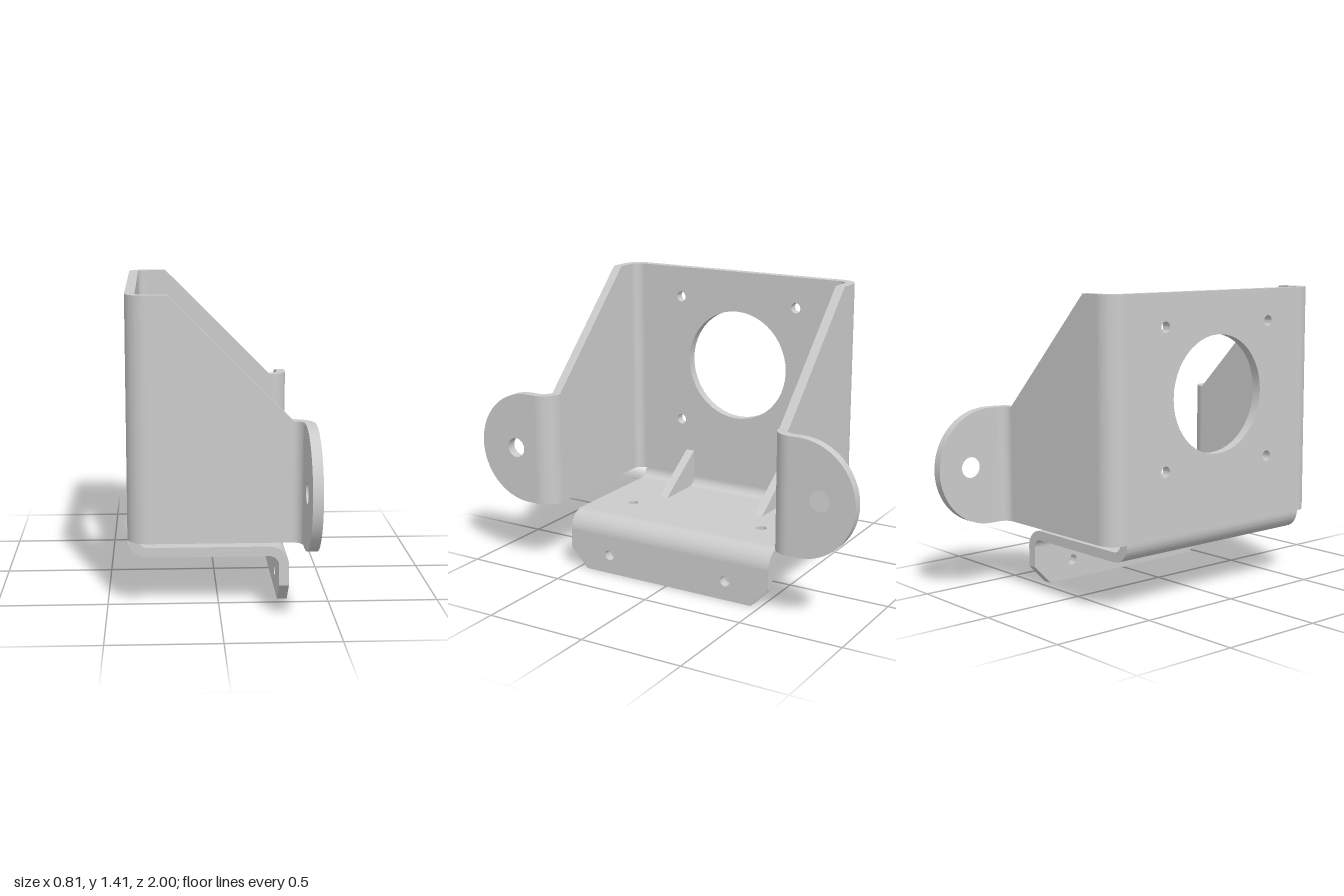
import * as THREE from 'three';
import { toCreasedNormals } from 'three/addons/utils/BufferGeometryUtils.js';

const T = 0.045;      // sheet thickness
const R = 0.09;       // outer bend radius
const X = 0.407;      // half depth
const BASE = 0.322;   // lower edge of back and walls
const TOP = 1.41;
const TAB_TOP = 0.866;
const HALF = 0.545;   // half width of the flat back and tray

// closed outline with round holes given as [x, y, radius]
function outline(points, holes = []) {
  const shape = new THREE.Shape(points.map(p => new THREE.Vector2(p[0], p[1])));
  for (const [x, y, r] of holes) {
    shape.holes.push(new THREE.Path().absarc(x, y, r, 0, Math.PI * 2, true));
  }
  return shape;
}

const rect = (x0, y0, x1, y1) => [[x0, y0], [x1, y0], [x1, y1], [x0, y1]];

// quarter ring section of a sheet bend
function bendSection(cx, cy, start) {
  const shape = new THREE.Shape();
  shape.absarc(cx, cy, R, start, start + Math.PI / 2, false);
  shape.absarc(cx, cy, R - T, start + Math.PI / 2, start, true);
  return shape;
}

export function createModel() {
  const group = new THREE.Group();
  const material = new THREE.MeshStandardMaterial({ color: 0xcccccc });

  function extrude(shape, depth) {
    return new THREE.ExtrudeGeometry(shape, { depth, bevelEnabled: false, curveSegments: 24 });
  }
  function add(name, geometry) {
    const mesh = new THREE.Mesh(toCreasedNormals(geometry, 0.6), material);
    mesh.name = name;
    group.add(mesh);
  }
  // outline in (x, y), thick along +z
  const alongZ = (shape, z, depth) => extrude(shape, depth).translate(0, 0, z);
  // outline in (z, y), thick towards -x from the front face
  const facingX = (shape, x) => extrude(shape, T).rotateY(-Math.PI / 2).translate(x, 0, 0);
  // outline in (x, z), thick downwards from the top face
  const facingY = (shape, y, depth) => extrude(shape, depth).rotateX(Math.PI / 2).translate(0, y, 0);

  // back plate with motor opening and screw holes
  const screws = [];
  for (const z of [-0.32, 0.322]) for (const y of [0.62, 1.26]) screws.push([z, y, 0.025]);
  add('backPlate', facingX(
    outline(rect(-HALF, BASE, HALF, TOP), [[0, 0.94, 0.273], ...screws]), -X + T));

  for (const s of [1, -1]) {
    const side = s > 0 ? 'left' : 'right';

    // rounded vertical corner between back and wall
    add(side + 'CornerBend', facingY(
      bendSection(-X + R, s * HALF, s > 0 ? Math.PI / 2 : Math.PI), TOP, TOP - BASE));

    // side wall with sloping edge
    const wall = outline([[-X + R, BASE], [X - R, BASE], [X - R, TAB_TOP], [-0.225, TOP], [-X + R, TOP]]);
    add(side + 'Wall', alongZ(wall, s > 0 ? HALF + T : -HALF - R, T));

    // outward bend leading into the mounting ear
    const earZ = HALF + R + T;
    add(side + 'EarBend', facingY(
      bendSection(X - R, s * earZ, s > 0 ? -Math.PI / 2 : 0), TAB_TOP, TAB_TOP - BASE));

    // round-ended mounting ear
    const r = (TAB_TOP - BASE) / 2, cy = BASE + r, cz = 1 - r;
    const ear = [[s * earZ, BASE]];
    for (let i = 0; i <= 40; i++) {
      const a = -Math.PI / 2 + Math.PI * i / 40;
      ear.push([s * (cz + r * Math.cos(a)), cy + r * Math.sin(a)]);
    }
    ear.push([s * earZ, TAB_TOP]);
    const hole = s > 0 ? [0.797, 0.59, 0.048] : [-0.833, 0.598, 0.048];
    add(side + 'Ear', facingX(outline(ear, [hole]), X));

    // triangular gusset between back and tray, filling the bend
    const gusset = new THREE.Shape();
    gusset.moveTo(-X + T, 0.46);
    gusset.lineTo(-X + T, BASE);
    gusset.absarc(-X + R, BASE, R - T, Math.PI, Math.PI * 1.5, false);
    gusset.lineTo(-0.095, BASE - T);
    add(side + 'Gusset', alongZ(gusset, s * 0.271 - T / 2, T));
  }

  // tray: bend at the back, flat floor, bend at the front, hanging lip
  const frontX = 0.225;
  const lipTop = BASE - R - (R - T);
  const floorTop = BASE - R + T;
  add('trayBackBend', alongZ(bendSection(-X + R, BASE, Math.PI), -HALF, 2 * HALF));
  add('trayFloor', facingY(outline(rect(-X + R, -HALF, frontX, HALF),
    [[0.045, -0.365, 0.025], [0.045, 0.36, 0.025]]), floorTop, T));
  add('trayFrontBend', alongZ(bendSection(frontX, lipTop, 0), -HALF, 2 * HALF));
  add('trayLip', facingX(outline(
    [[-HALF, lipTop], [-HALF, 0.093], [-0.455, 0], [0.455, 0], [HALF, 0.093], [HALF, lipTop]],
    [[-0.32, 0.093, 0.025], [0.322, 0.093, 0.025]]), frontX + R));

  return group;
}
